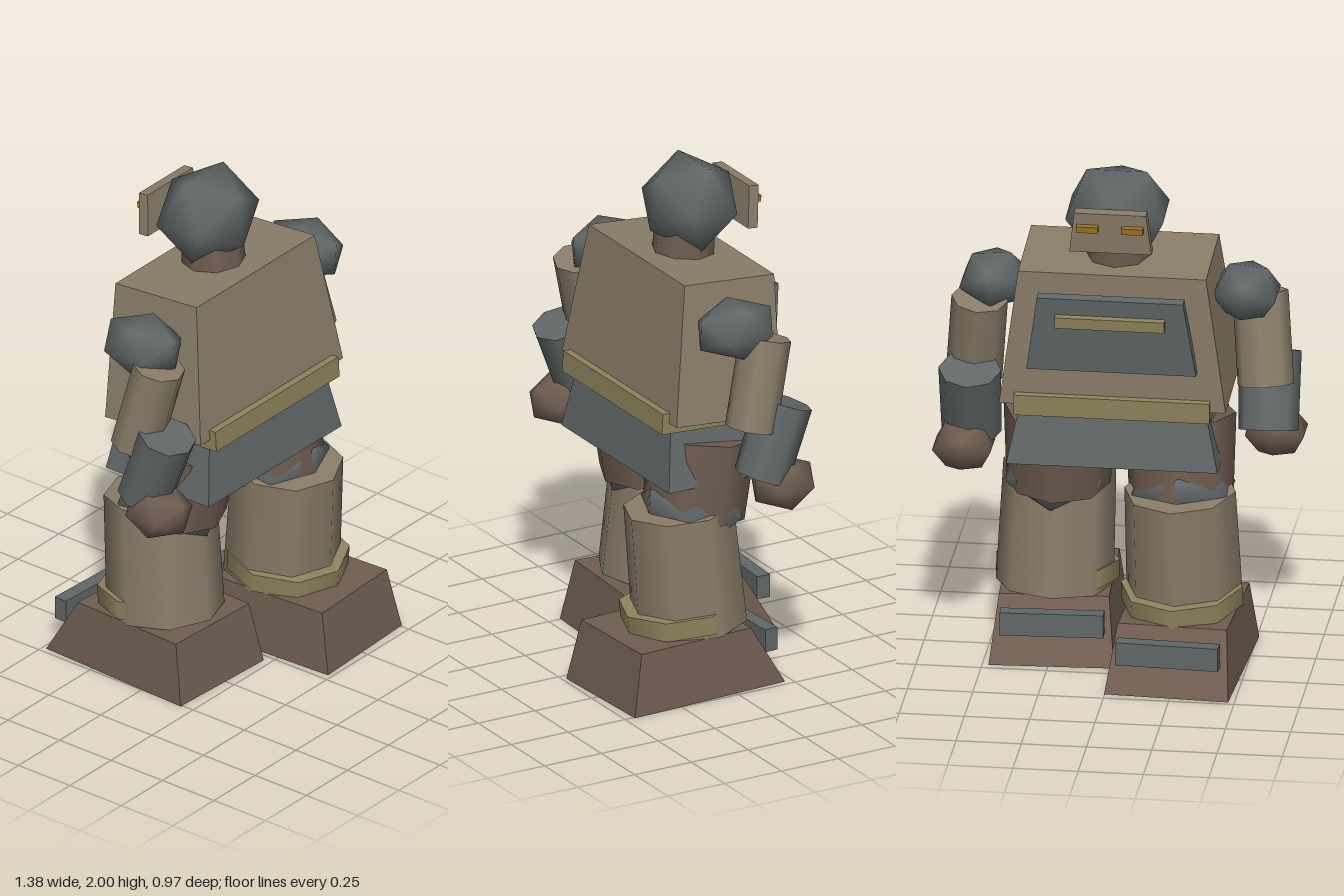
import * as THREE from 'three';
import { mergeVertices } from 'three/addons/utils/BufferGeometryUtils.js';

const mat = (color) => new THREE.MeshStandardMaterial({ color, roughness: 0.85 });
const TAN = mat(0x8a7d69), BROWN = mat(0x6f5d50), STEEL = mat(0x616867), KHAKI = mat(0x8f845d), AMBER = mat(0x9a7426);

function add(parent, name, geometry, material, pos, rot = [0, 0, 0]) {
  const mesh = new THREE.Mesh(geometry, material);
  mesh.name = name;
  mesh.position.set(...pos);
  mesh.rotation.set(...rot);
  parent.add(mesh);
  return mesh;
}

// Box whose top face is resized to topW x topD and shifted along z
function taperedBox(w, h, d, topW = w, topD = d, shiftZ = 0) {
  const g = new THREE.BoxGeometry(w, h, d);
  const p = g.attributes.position;
  for (let i = 0; i < p.count; i++) {
    if (p.getY(i) > 0) {
      p.setX(i, p.getX(i) * topW / w);
      p.setZ(i, p.getZ(i) * topD / d + shiftZ);
    }
  }
  g.computeVertexNormals();
  return g;
}

// Smooth-shaded icosahedron with the given half extents
function gem(hx, hy, hz) {
  let g = new THREE.IcosahedronGeometry(1 / 0.8507, 0);
  g.deleteAttribute('uv');
  g.deleteAttribute('normal');
  g = mergeVertices(g, 1e-4);
  g.scale(hx, hy, hz);
  g.computeVertexNormals();
  return g;
}

const tube = (rTop, rBottom, h) => new THREE.CylinderGeometry(rTop, rBottom, h, 8);

export function createModel() {
  const model = new THREE.Group();
  model.name = 'robot';

  // Head and face, looking toward -z
  add(model, 'neck', tube(0.115, 0.125, 0.2), BROWN, [0, 1.68, -0.052], [-0.08, 0, 0]);
  add(model, 'head', gem(0.187, 0.167, 0.164), STEEL, [0, 1.832, -0.077], [-0.1, 0, 0]);
  add(model, 'facePlate', taperedBox(0.315, 0.165, 0.042, 0.275), TAN, [0, 1.82, -0.272], [-0.1, 0, 0]);
  for (const s of [-1, 1]) {
    add(model, 'eye', new THREE.BoxGeometry(0.083, 0.025, 0.03), AMBER, [s * 0.086, 1.84, -0.303], [-0.1, 0, 0]);
  }

  // Torso, chest plate, belt and skirt
  add(model, 'torso', taperedBox(0.868, 0.545, 0.465, 0.72, 0.395), TAN, [0, 1.37, -0.02], [-0.08, 0, 0]);
  add(model, 'chestPlate', taperedBox(0.65, 0.31, 0.042, 0.56), STEEL, [0, 1.395, -0.264], [-0.13, 0, 0]);
  add(model, 'chestBar', new THREE.BoxGeometry(0.42, 0.045, 0.028), KHAKI, [0, 1.455, -0.308], [-0.1, 0, 0]);
  add(model, 'belt', new THREE.BoxGeometry(0.75, 0.083, 0.52), KHAKI, [0, 1.1, 0.002], [-0.06, 0, 0]);
  add(model, 'skirt', taperedBox(0.81, 0.26, 0.5, 0.7, 0.42), STEEL, [0, 0.97, 0.0]);

  // Limbs swing in opposite directions on the two sides
  for (const s of [1, -1]) {
    const side = s > 0 ? 'left' : 'right';
    const at = (x, y, z) => [s * x, y, s * z];
    const turn = (x, y, z) => [s * x, s * y, s * z];

    const arm = new THREE.Group();
    arm.name = side + 'Arm';
    model.add(arm);
    add(arm, 'shoulder', gem(0.12, 0.1, 0.152), STEEL, at(0.485, 1.497, 0.005), turn(0, 0, -0.08));
    add(arm, 'upperArm', tube(0.108, 0.108, 0.36).scale(1, 1, 0.9), TAN, at(0.54, 1.28, -0.063), turn(-0.235, 0, 0.09));
    add(arm, 'forearm', tube(0.12, 0.115, 0.305).scale(1, 1, 0.9), STEEL, at(0.557, 1.045, -0.117), turn(-0.35, 0, 0.02));
    add(arm, 'hand', gem(0.112, 0.092, 0.12), BROWN, at(0.58, 0.87, -0.148));

    const leg = new THREE.Group();
    leg.name = side + 'Leg';
    model.add(leg);
    add(leg, 'thigh', tube(0.215, 0.2, 0.32), BROWN, at(0.236, 0.83, 0.025), turn(-0.13, 0, 0.03));
    add(leg, 'knee', gem(0.185, 0.14, 0.185), STEEL, at(0.25, 0.7, 0.06), turn(-0.06, 0, 0));
    add(leg, 'shin', tube(0.215, 0.225, 0.48), TAN, at(0.252, 0.475, 0.095), turn(0.08, 0.05, 0.03));
    add(leg, 'ankleBand', tube(0.235, 0.235, 0.075), KHAKI, at(0.252, 0.29, 0.112), turn(0.09, 0.05, 0.03));

    // Foot with a long sloping toe and a plate across it
    const foot = new THREE.Group();
    foot.name = side + 'Foot';
    foot.position.set(s * 0.253, 0, s * 0.132);
    foot.rotation.y = s * 0.048;
    model.add(foot);
    add(foot, 'footBlock', taperedBox(0.478, 0.24, 0.68, 0.42, 0.495, 0.043), BROWN, [0, 0.12, 0]);
    add(foot, 'toePlate', new THREE.BoxGeometry(0.395, 0.092, 0.055), STEEL, [0, 0.165, -0.305]);
  }
  return model;
}
